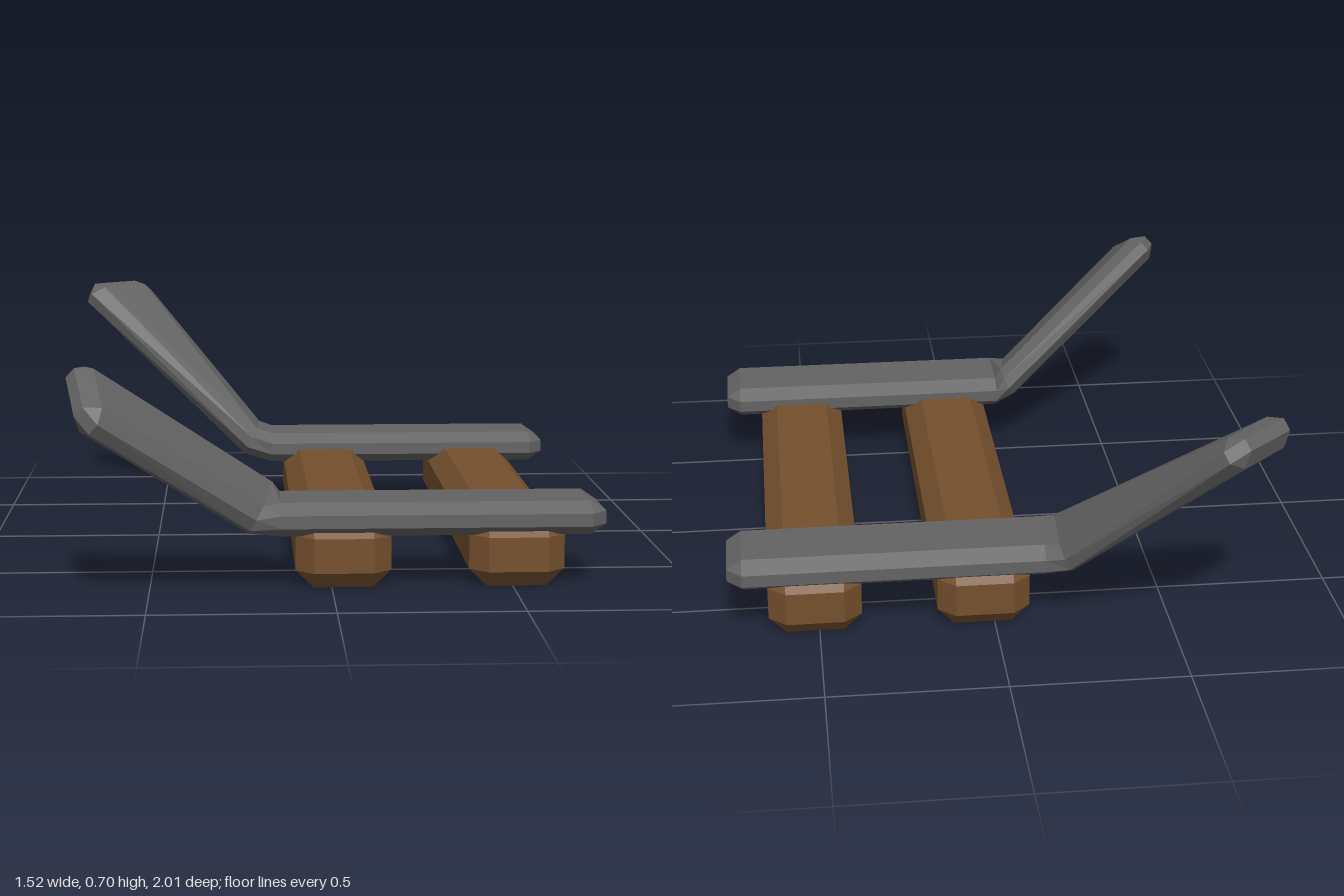
import * as THREE from 'three';

const V = (a) => new THREE.Vector3(...a);

// Loft of chamfered-rectangle sections; each section has a centre c, travel direction d and width axis w.
// The first and last sections are bevelled caps (inset to a rectangle).
function bevelledBar(name, color, { hw, ht, cw, ct }, sections) {
  const rings = sections.map(({ c, d, w }, k) => {
    const cap = k === 0 || k === sections.length - 1;
    const W = V(w).normalize();
    const N = V(d).cross(W).normalize();
    const a = hw - cw, b = ht - ct;
    const A = cap ? a : hw, B = cap ? b : ht;
    const outline = [[A, -b], [A, b], [a, B], [-a, B], [-A, b], [-A, -b], [-a, -B], [a, -B]];
    return outline.map(([u, v]) => V(c).addScaledVector(W, u).addScaledVector(N, v));
  });
  const pos = [];
  const tri = (...pts) => pts.forEach((p) => pos.push(p.x, p.y, p.z));
  for (let k = 0; k < rings.length - 1; k++) {
    for (let i = 0; i < 8; i++) {
      const j = (i + 1) % 8, p = rings[k], q = rings[k + 1];
      // skip triangles that collapse on the rectangular caps
      if (p[i].distanceTo(p[j]) > 1e-6) tri(p[i], p[j], q[j]);
      if (q[i].distanceTo(q[j]) > 1e-6) tri(p[i], q[j], q[i]);
    }
  }
  // end faces
  const s = rings[0], e = rings[rings.length - 1];
  tri(s[0], s[4], s[1]); tri(s[0], s[5], s[4]);
  tri(e[0], e[1], e[4]); tri(e[0], e[4], e[5]);
  const geo = new THREE.BufferGeometry();
  geo.setAttribute('position', new THREE.Float32BufferAttribute(pos, 3));
  geo.computeVertexNormals();
  const mesh = new THREE.Mesh(geo, new THREE.MeshStandardMaterial({ color, flatShading: true }));
  mesh.name = name;
  return mesh;
}

export function createModel() {
  const group = new THREE.Group();
  group.name = 'bentPlankFrame';

  // Two timber beams running front to back
  const beam = { hw: 0.132, ht: 0.096, cw: 0.05, ct: 0.048 };
  [['rightBeam', 0.032], ['leftBeam', 0.511]].forEach(([name, x]) => {
    const sections = [-0.69, -0.645, 0.71, 0.755].map((z) => ({ c: [x, 0.096, z], d: [0, 0, 1], w: [1, 0, 0] }));
    group.add(bevelledBar(name, 0x75502d, beam, sections));
  });

  // Two metal planks lying across the beams, each bent upward into a splayed arm
  const plank = { hw: 0.131, ht: 0.047, cw: 0.043, ct: 0.029 };
  const flat = (z) => [0.755, 0.712, -0.14].map((x) => ({ c: [x, 0.193, z], d: [-1, 0, 0], w: [0, 0, 1] }));

  const frontDir = [-0.74, 0.55, 0.39], frontW = [0.18, -0.47, 0.86];
  group.add(bevelledBar('frontPlank', 0x636363, plank, [
    ...flat(0.634),
    { c: [-0.195, 0.21, 0.63], d: [-0.88, 0.42, 0.15], w: [-0.04, -0.05, 0.24] },
    { c: [-0.652, 0.549, 0.876], d: frontDir, w: frontW },
    { c: [-0.683, 0.572, 0.893], d: frontDir, w: frontW },
  ]));

  const backDir = [-0.62, 0.62, -0.475], backW = [-0.75, 0, 0.66];
  group.add(bevelledBar('backPlank', 0x636363, plank, [
    ...flat(-0.56),
    { c: [-0.205, 0.21, -0.583], d: [-0.88, 0.42, -0.2], w: [-0.06, 0.02, 1] },
    { c: [-0.661, 0.658, -0.917], d: backDir, w: backW },
    { c: [-0.685, 0.69, -0.938], d: backDir, w: backW },
  ]));

  return group;
}
